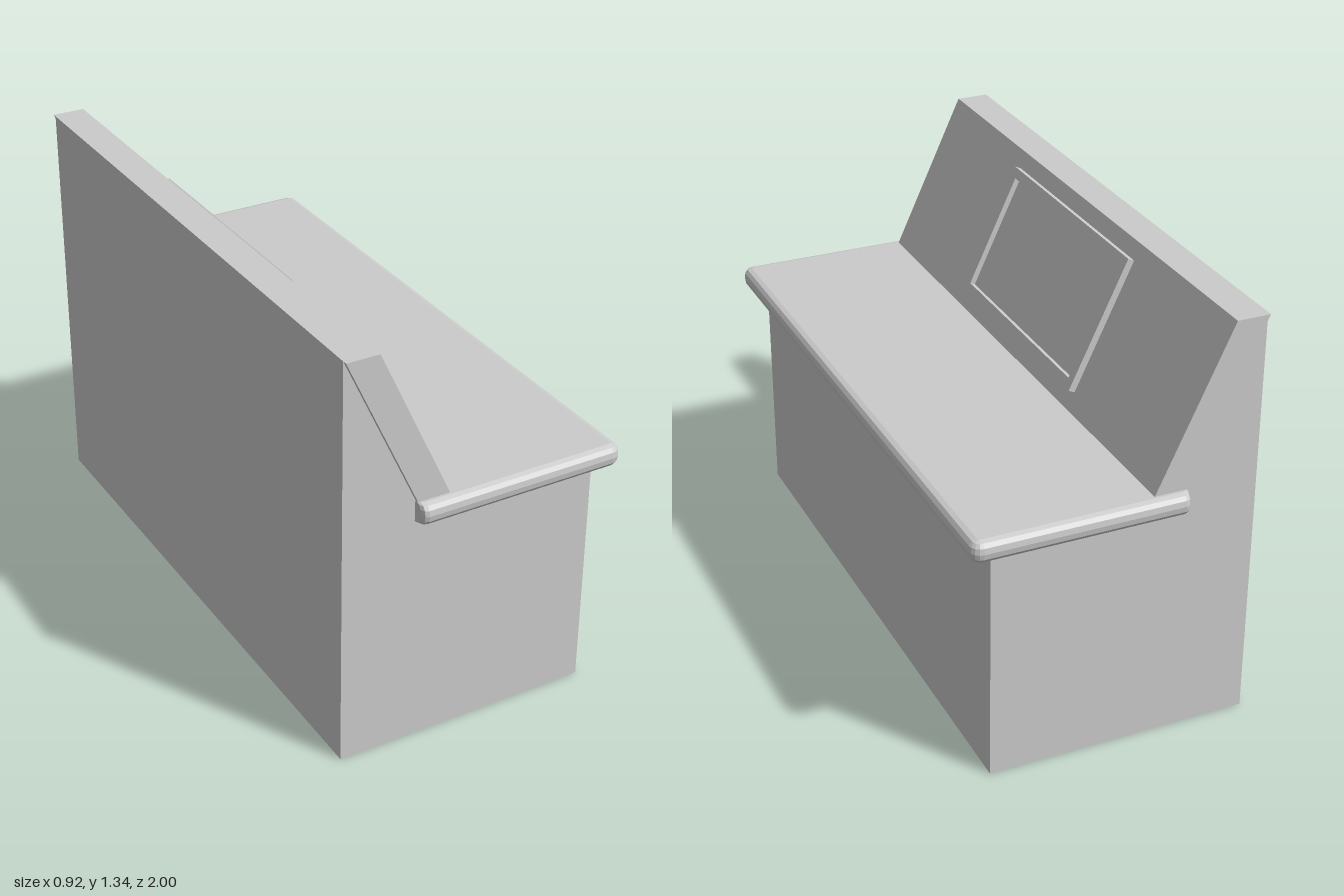
import * as THREE from 'three';

const material = new THREE.MeshStandardMaterial({ color: 0xcccccc, flatShading: true });

function addMesh(parent, name, geometry) {
  const mesh = new THREE.Mesh(geometry, material);
  mesh.name = name;
  parent.add(mesh);
  return mesh;
}

// Side profile in x/y, extruded symmetrically along z
function extrudeProfile(points, halfWidth) {
  const shape = new THREE.Shape(points.map(([x, y]) => new THREE.Vector2(x, y)));
  const geometry = new THREE.ExtrudeGeometry(shape, { depth: 2 * halfWidth, bevelEnabled: false });
  return geometry.translate(0, 0, -halfWidth);
}

// Plan outline of the counter, drawn in on the front and ends but not at the back
function counterOutline(inset) {
  const back = -0.225, front = 0.455 - inset, end = 1 - inset;
  const r = Math.max(0.008, 0.035 - inset), c = 0.018;
  const half = [[back, end - c], [back + 0.006, end - 0.005], [back + c, end]];
  for (let i = 0; i <= 4; i++) {
    const a = (i / 4) * Math.PI / 2;
    half.push([front - r + r * Math.sin(a), end - r + r * Math.cos(a)]);
  }
  return [...half, ...half.map(([x, z]) => [x, -z]).reverse()];
}

// Stack of outlines joined into a slab with softly rounded edges
function counterGeometry() {
  const levels = [[-0.035, 0.027], [-0.03, 0.012], [-0.018, 0.003], [0, 0],
    [0.018, 0.003], [0.03, 0.012], [0.035, 0.027]];
  const positions = [], index = [];
  let n = 0;
  for (const [dy, inset] of levels) {
    const loop = counterOutline(inset);
    n = loop.length;
    for (const [x, z] of loop) positions.push(x, 0.795 + dy, z);
  }
  const last = (levels.length - 1) * n;
  const bottom = positions.length / 3, top = bottom + 1;
  positions.push(0.1, 0.76, 0, 0.1, 0.83, 0);
  for (let i = 0; i < n; i++) {
    const k = (i + 1) % n;
    for (let j = 0; j < last; j += n) {
      index.push(j + i, j + k, j + n + k, j + i, j + n + k, j + n + i);
    }
    index.push(bottom, k, i, top, last + i, last + k);
  }
  const geometry = new THREE.BufferGeometry();
  geometry.setAttribute('position', new THREE.Float32BufferAttribute(positions, 3));
  geometry.setIndex(index);
  const flat = geometry.toNonIndexed();
  flat.computeVertexNormals();
  return flat;
}

function rectangle(PathType, w, h) {
  return new PathType([[-w, -h], [w, -h], [w, h], [-w, h]].map(([x, y]) => new THREE.Vector2(x, y)));
}

export function createModel() {
  const group = new THREE.Group();
  group.name = 'consoleDesk';

  // Cabinet with a sloping upper front
  addMesh(group, 'cabinet', extrudeProfile([
    [-0.46, 0], [0.38, 0], [0.38, 0.76], [-0.225, 0.76], [-0.225, 0.83], [-0.46, 1.335],
  ], 0.95));

  // Leaning back panel
  addMesh(group, 'backPanel', extrudeProfile([
    [-0.225, 0.83], [-0.12, 0.83], [-0.355, 1.335], [-0.46, 1.335],
  ], 0.965));

  addMesh(group, 'counter', counterGeometry());

  // Screen on the sloping face: local y runs up the slope, local z points out
  const up = new THREE.Vector3(-0.235, 0.505, 0).normalize();
  const out = new THREE.Vector3(up.y, -up.x, 0);
  const screen = new THREE.Group();
  screen.name = 'screen';
  screen.quaternion.setFromRotationMatrix(
    new THREE.Matrix4().makeBasis(new THREE.Vector3(0, 0, -1), up, out));
  screen.position.set(-0.355, 1.335, 0).addScaledVector(up, -0.276);
  group.add(screen);

  const frame = rectangle(THREE.Shape, 0.4, 0.222);
  frame.holes.push(rectangle(THREE.Path, 0.37, 0.191));
  addMesh(screen, 'screenFrame',
    new THREE.ExtrudeGeometry(frame, { depth: 0.022, bevelEnabled: false }));
  addMesh(screen, 'screenGlass', new THREE.BoxGeometry(0.74, 0.382, 0.006)).position.z = 0.001;

  return group;
}
